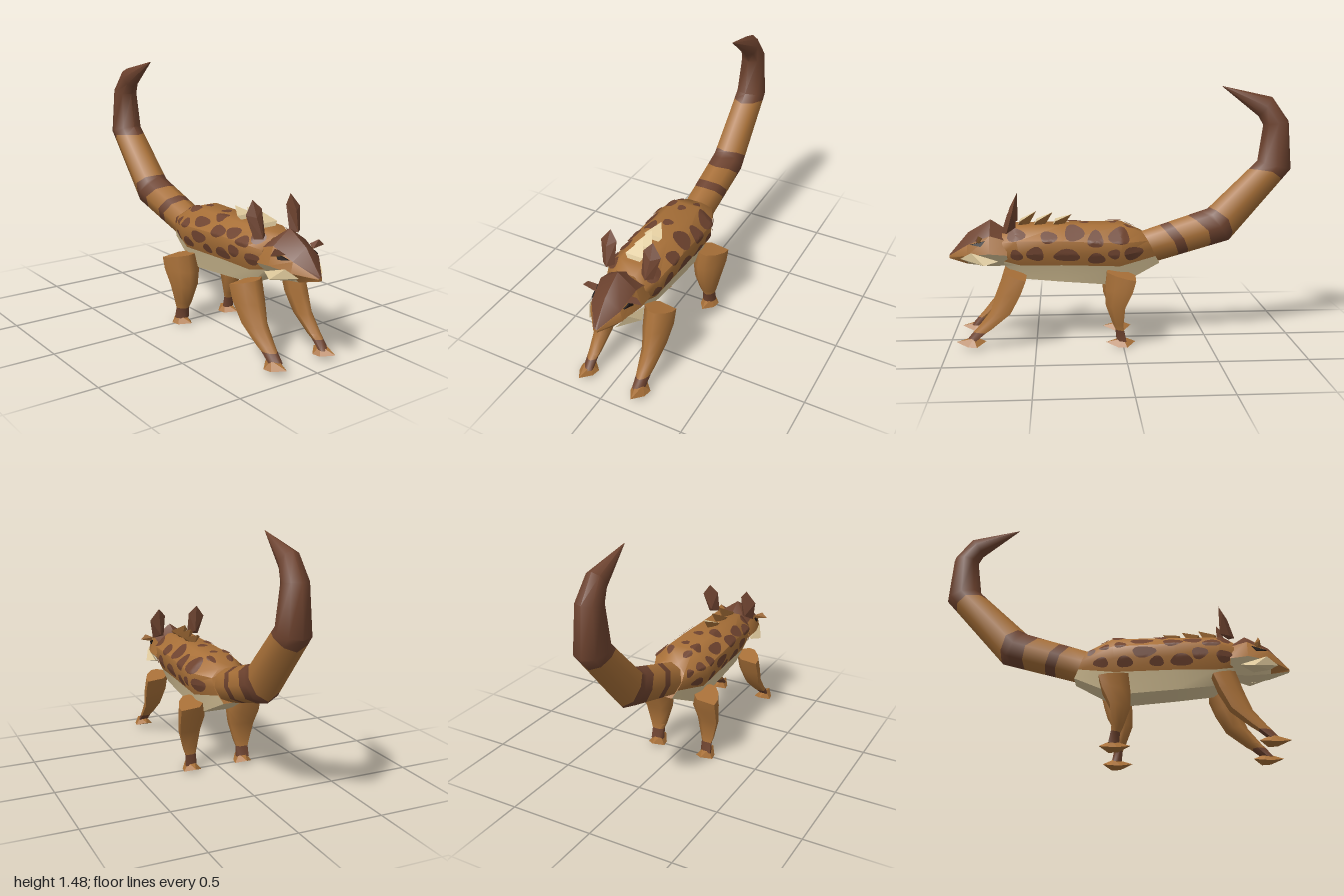
import * as THREE from 'three';
import { toCreasedNormals } from 'three/addons/utils/BufferGeometryUtils.js';
import { ConvexGeometry } from 'three/addons/geometries/ConvexGeometry.js';

const mat = (name, color) => Object.assign(new THREE.MeshStandardMaterial({ color }), { name });
const V = (x, y, z) => new THREE.Vector3(x, y, z);
const lerp = THREE.MathUtils.lerp;

export function createModel() {
  const model = new THREE.Group();
  const tan = mat('tan fur', 0xa87038), dark = mat('dark brown fur', 0x6e432f);
  const cream = mat('cream', 0xdcc79a), black = mat('eye black', 0x1c1310);
  const mats = [tan, dark, cream, black];
  const TAN = 0, DARK = 1, CREAM = 2, BLACK = 3;

  // Colours each triangle by a rule(faceIndex, normal)
  function add(name, geo, rule) {
    const p = geo.attributes.position, t = new THREE.Triangle(), n = V();
    geo.clearGroups();
    for (let f = 0; f < p.count / 3; f++) {
      t.setFromAttributeAndIndices(p, f * 3, f * 3 + 1, f * 3 + 2);
      const k = rule(f, t.getNormal(n));
      const last = geo.groups[geo.groups.length - 1];
      if (last && last.materialIndex === k) last.count += 3;
      else geo.addGroup(f * 3, 3, k);
    }
    const mesh = new THREE.Mesh(geo, mats);
    mesh.name = name;
    model.add(mesh);
  }

  // Closed skin through rings of equal point count, always wound outward
  function loft(rings, crease) {
    const n = rings[0].length, pts = rings.flat(), idx = [];
    for (let i = 0; i < rings.length - 1; i++)
      for (let j = 0; j < n; j++) {
        const a = i * n + j, b = i * n + (j + 1) % n;
        idx.push(a, b, a + n, b, b + n, a + n);
      }
    const e = (rings.length - 1) * n;
    for (let j = 1; j < n - 1; j++) idx.push(0, j + 1, j, e, e + j, e + j + 1);
    let vol = 0;
    for (let i = 0; i < idx.length; i += 3)
      vol += pts[idx[i]].dot(V().crossVectors(pts[idx[i + 1]], pts[idx[i + 2]]));
    if (vol < 0) for (let i = 0; i < idx.length; i += 3) [idx[i], idx[i + 1]] = [idx[i + 1], idx[i]];
    const g = new THREE.BufferGeometry().setFromPoints(pts);
    g.setIndex(idx);
    return toCreasedNormals(g.toNonIndexed(), crease);
  }
  const convex = (pts, s = 1) => new ConvexGeometry(pts.map(([x, y, z]) => V(x, y, z * s)));

  // Body stations: x at top, x at bottom, top, upper side, lower side, belly edge, bottom, half width
  const stations = [
    [-0.12, -0.22, 0.64, 0.60, 0.55, 0.505, 0.46, 0.10],
    [0.0, 0.02, 0.69, 0.60, 0.53, 0.46, 0.34, 0.175],
    [0.35, 0.35, 0.69, 0.615, 0.54, 0.47, 0.365, 0.165],
    [0.62, 0.57, 0.69, 0.615, 0.54, 0.47, 0.385, 0.155],
    [0.69, 0.68, 0.66, 0.60, 0.54, 0.49, 0.46, 0.12],
  ];
  const half = ([xt, xb, top, up, lo, edge, bot, w]) => [
    V(xt, top, 0.45 * w), V(lerp(xt, xb, 0.3), up, w), V(lerp(xt, xb, 0.55), lo, 0.98 * w),
    V(lerp(xt, xb, 0.75), edge, 0.8 * w), V(xb, bot, 0.58 * w)];
  const bodyRings = stations.map((s) => {
    const h = half(s);
    return [...h, ...h.map((p) => V(p.x, p.y, -p.z)).reverse()];
  });
  add('body', loft(bodyRings, 0.9), (f) => {
    const j = Math.floor(f / 2) % 10;
    return f < 80 && j >= 3 && j <= 5 ? CREAM : TAN;
  });

  // Point just above the body skin; v runs 0 at the spine to 4 at the belly edge
  function skin(x, v) {
    const mid = stations.map((s) => (s[0] + s[1]) / 2);
    let i = 0;
    while (i < 3 && x > mid[i + 1]) i++;
    const u = THREE.MathUtils.clamp((x - mid[i]) / (mid[i + 1] - mid[i]), 0, 1);
    const s = stations[i].map((a, k) => lerp(a, stations[i + 1][k], u));
    const prof = [V(s[0], s[2], 0), ...half(s)], a = Math.min(Math.abs(v), 3.95), k = Math.floor(a);
    const p = prof[k].clone().lerp(prof[k + 1], a - k);
    p.add(V(0, p.y - 0.54, p.z).normalize().multiplyScalar(0.007));
    if (v < 0) p.z *= -1;
    return p;
  }
  // Spots: x, v, radius along x, radius along v; negative v lies on the right side
  const spots = [
    [-0.045, 1.95, 0.035, 0.3], [0.05, 1.9, 0.033, 0.3], [0.17, 1.6, 0.064, 0.28], [0.18, 2.6, 0.066, 0.45],
    [0.34, 1.85, 0.055, 0.38], [0.45, 1.65, 0.05, 0.33], [0.55, 1.95, 0.05, 0.35], [0.39, 3.3, 0.063, 0.45],
    [0.25, 3.35, 0.04, 0.38], [-0.06, 3.3, 0.04, 0.42], [0.07, 3.3, 0.045, 0.42], [0.49, 2.8, 0.045, 0.45],
    [0.62, 1.45, 0.045, 0.36], [0.63, 3.0, 0.045, 0.5], [-0.13, 2.2, 0.025, 0.4], [0.04, 0.95, 0.04, 0.35],
    [0.28, 0.95, 0.042, 0.42], [-0.06, 0.9, 0.045, 0.3],
    [0.6, -1.6, 0.055, 0.42], [0.5, -3.0, 0.05, 0.55], [0.42, -1.8, 0.045, 0.4], [0.32, -3.1, 0.075, 0.5],
    [0.28, -1.5, 0.055, 0.5], [0.15, -3.3, 0.05, 0.45], [0.16, -1.9, 0.045, 0.55], [0.02, -1.65, 0.065, 0.5],
    [-0.06, -3.0, 0.055, 0.6], [0.05, -2.9, 0.035, 0.4], [-0.05, -0.75, 0.05, 0.3], [0.61, -3.1, 0.035, 0.45],
    [0.06, 0, 0.025, 0.3], [0.22, 0, 0.028, 0.4],
  ];
  for (const [x, v, rx, rv] of spots) {
    const disc = new THREE.RingGeometry(0.001, 1, 16, 4), p = disc.attributes.position;
    for (let i = 0; i < p.count; i++) {
      const wob = 1 + 0.1 * Math.sin(3 * Math.atan2(p.getY(i), p.getX(i)) + x * 40);
      const w = skin(x + p.getX(i) * rx * wob, v - p.getY(i) * rv * wob);
      p.setXYZ(i, w.x, w.y, w.z);
    }
    disc.computeVertexNormals();
    const spot = new THREE.Mesh(disc, dark);
    spot.name = 'spot';
    model.add(spot);
  }

  // Tail: inner edge x y, outer edge x y, half width
  const tail = [
    [-0.12, 0.64, -0.22, 0.46, 0.095], [-0.51, 0.77, -0.64, 0.58, 0.1], [-0.80, 1.05, -1.0, 1.0, 0.093],
    [-0.83, 1.26, -0.98, 1.28, 0.073], [-0.80, 1.31, -0.88, 1.42, 0.056], [-0.585, 1.481, -0.587, 1.483, 0.002],
  ];
  // Cuts along the tail with a forward sweep of each stripe edge over the top
  const tailCuts = [[0, 0], [0.3, 0.03], [0.44, 0.03], [0.76, 0.06], [0.94, 0.06], [1, 0], [1.08, 0.05],
    [1.87, 0.04], [2, 0], [3, 0], [4, 0], [5, 0]];
  const tailColours = [TAN, DARK, TAN, DARK, DARK, DARK, TAN];
  const tailRings = tailCuts.map(([cut, sweep]) => Array.from({ length: 8 }, (_, j) => {
    const angle = (j * Math.PI) / 4, t = cut - sweep * Math.cos(angle * 2), i = Math.min(Math.floor(t), 4);
    const [ax, ay, bx, by, w] = tail[i].map((a, k) => lerp(a, tail[i + 1][k], t - i));
    const c = Math.cos(angle) / 2;
    return V((ax + bx) / 2 + (ax - bx) * c, (ay + by) / 2 + (ay - by) * c, Math.sin(angle) * w);
  }));
  add('tail', loft(tailRings, 1.0), (f) => tailColours[Math.floor(f / 16)] ?? DARK);

  // Head: x, crown y, then brow, cheek and jaw as z y
  const headRings = [
    [0.66, 0.655, 0.11, 0.61, 0.135, 0.53, 0.07, 0.46], [0.76, 0.72, 0.11, 0.64, 0.14, 0.54, 0.06, 0.455],
    [0.89, 0.645, 0.088, 0.585, 0.1, 0.525, 0.045, 0.468], [1.0, 0.515, 0.01, 0.51, 0.012, 0.505, 0.01, 0.495],
  ].map(([x, top, bz, by, cz, cy, jz, jy]) => [
    V(x, top, 0), V(x, by, bz), V(x, cy, cz), V(x, jy, jz), V(x, jy, -jz), V(x, cy, -cz), V(x, by, -bz)]);
  const headColours = [DARK, TAN, CREAM, CREAM, CREAM, TAN, DARK];
  const muzzleColours = [DARK, TAN, TAN, CREAM, TAN, TAN, DARK];
  add('head', loft(headRings, 0.7), (f) => (f < 42 ? (f < 28 ? headColours : muzzleColours)[Math.floor(f / 2) % 7] : TAN));

  // Back spikes, cream on the upper and front faces
  for (const [x, y] of [[0.39, 0.745], [0.5, 0.758], [0.595, 0.765]])
    add('backSpike', convex([[x - 0.1, y, 0], [x - 0.005, 0.712, 0.056], [x - 0.005, 0.712, -0.056], [x + 0.01, 0.68, 0.03],
      [x + 0.01, 0.68, -0.03], [x - 0.05, 0.675, 0]]), (f, n) => (n.y > 0.3 || n.x > 0.8 ? CREAM : TAN));

  // Legs: x, y, z, radius x, radius z, on a section whose outer corner lies at the back
  const section = [[1, -0.4], [1, 0.1], [0.4, 0.65], [-0.35, 0.97], [-0.95, 1], [-1, -0.4], [-0.4, -1], [0.4, -1]];
  const hind = [
    [0.01, 0.42, 0.175, 0.082, 0.08], [0.025, 0.33, 0.168, 0.078, 0.085], [0.045, 0.24, 0.17, 0.055, 0.07],
    [0.03, 0.13, 0.17, 0.03, 0.045], [0.02, 0.095, 0.17, 0.024, 0.034], [0.01, 0.03, 0.17, 0.028, 0.036]];
  const fore = [
    [0.615, 0.425, 0.16, 0.065, 0.075], [0.65, 0.32, 0.163, 0.068, 0.073], [0.70, 0.21, 0.165, 0.06, 0.055],
    [0.79, 0.12, 0.165, 0.042, 0.04], [0.82, 0.095, 0.165, 0.036, 0.034], [0.87, 0.045, 0.165, 0.027, 0.032]];
  for (const s of [1, -1]) {
    for (const [name, rows, fx, fy] of [['hind', hind, 0, 0], ['front', fore, 0.855, 0.018]]) {
      // The top ring leans up towards the front and the body
      const rings = rows.map(([x, y, z, rx, rz], i) => section.map(([u, v]) =>
        V(x + u * rx, y + (i ? 0 : 0.015 * u - 0.008 * v), s * (z + v * rz))));
      add(name + 'Leg', loft(rings, 1.0), (f) => (f >= 64 && f < 80 ? DARK : TAN));
      // Flat pointed foot
      const foot = [[-0.07, 0.022, 0], [0.1, 0.02, 0], [-0.02, 0, 0.055], [-0.02, 0, -0.055], [0.03, 0, 0.045],
        [0.03, 0, -0.045], [0, 0.045, 0.02], [0, 0.045, -0.02]];
      add(name + 'Foot', convex(foot.map(([x, y, z]) => [x + fx, y + fy, z + 0.168]), s), () => TAN);
    }
    // Ear, cheek tuft, brow spike and eye
    add('ear', convex([[0.61, 0.858, 0.13], [0.625, 0.785, 0.185], [0.63, 0.807, 0.083], [0.66, 0.66, 0.157],
      [0.66, 0.67, 0.083], [0.69, 0.66, 0.12], [0.61, 0.69, 0.12], [0.655, 0.77, 0.135]], s), () => DARK);
    add('cheekTuft', convex([[0.71, 0.495, 0.125], [0.865, 0.545, 0.118], [0.93, 0.505, 0.08], [0.79, 0.465, 0.08],
      [0.79, 0.477, 0.158], [0.88, 0.48, 0.075]], s), () => CREAM);
    add('browSpike', convex([[0.80, 0.628, 0.105], [0.84, 0.612, 0.095], [0.815, 0.6, 0.112], [0.82, 0.648, 0.15],
      [0.825, 0.615, 0.182]], s), (f, n) => (n.y > 0.2 ? DARK : TAN));
    const eye = [[0.785, 0.612, 0.117], [0.87, 0.59, 0.102], [0.81, 0.58, 0.12]];
    add('eye', convex([...eye, ...eye.map(([x, y, z]) => [x, y, z - 0.009])], s), () => BLACK);
  }
  return model;
}
